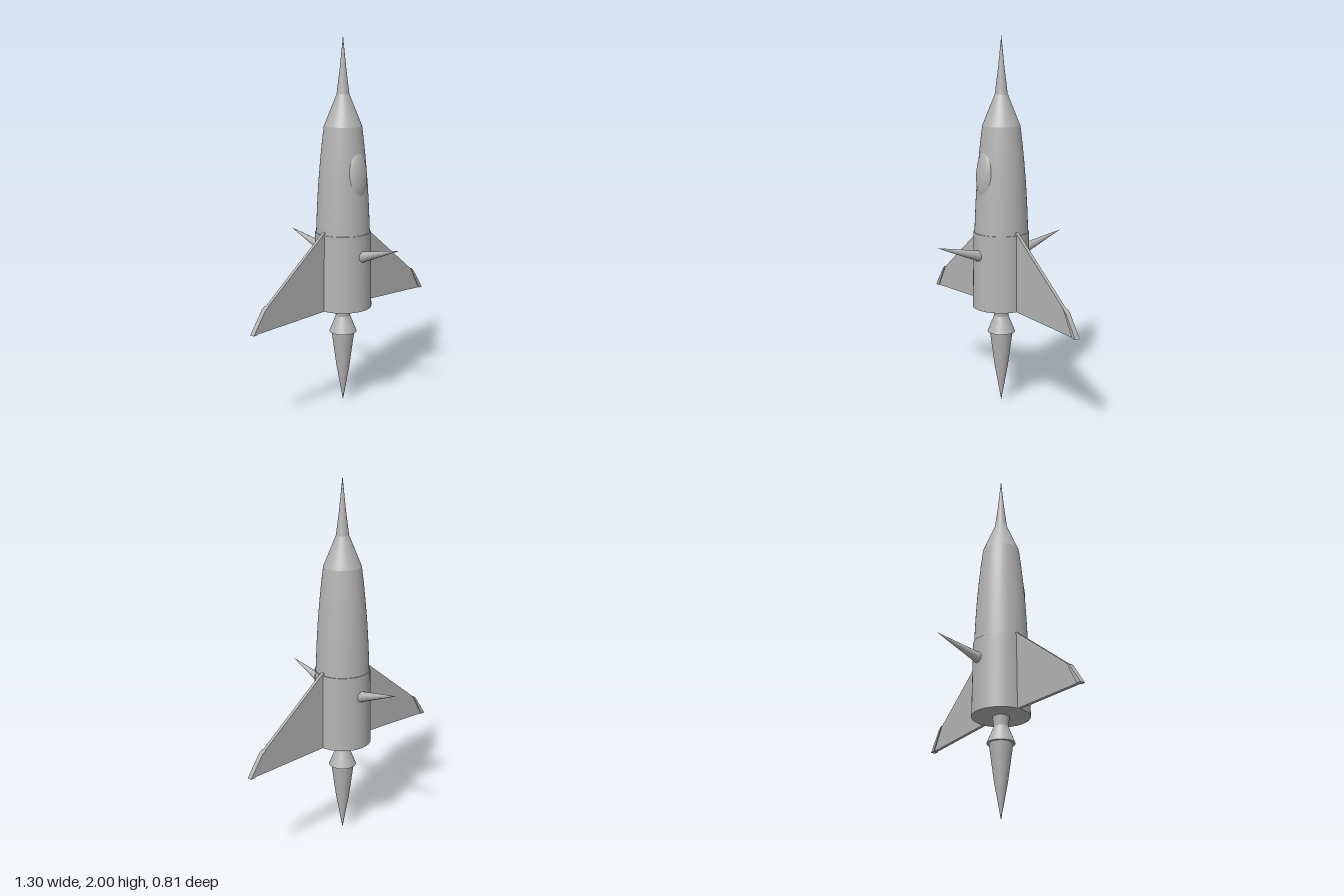
import * as THREE from 'three';

export function createModel() {
  const model = new THREE.Group();
  model.name = 'rocketShip';
  const grey = new THREE.MeshStandardMaterial({ color: 0xb4b4b4 });
  grey.name = 'hullGrey';

  const add = (name, geometry, parent = model) => {
    const mesh = new THREE.Mesh(geometry, grey);
    mesh.name = name;
    parent.add(mesh);
    return mesh;
  };
  // Turned part from [radius, height] pairs, listed bottom to top
  const turned = (name, pts) =>
    add(name, new THREE.LatheGeometry(pts.map(([r, y]) => new THREE.Vector2(r, y)), 48));
  // Flat plate centred on z = 0
  const plate = (name, pts, depth, parent) => {
    const shape = new THREE.Shape(pts.map(([x, y]) => new THREE.Vector2(x, y)));
    const geometry = new THREE.ExtrudeGeometry(shape, { depth, bevelEnabled: false });
    geometry.translate(0, 0, -depth / 2);
    return add(name, geometry, parent);
  };

  // Fuselage and long needle nose
  turned('rearHull', [[0.155, 0.545], [0.15, 0.96]]);
  turned('rearBulkhead', [[0, 0.545], [0.155, 0.545]]);
  turned('hullStep', [[0.15, 0.96], [0.143, 0.96]]);
  turned('frontHull', [[0.145, 0.955], [0.139, 1.1], [0.132, 1.22], [0.122, 1.34], [0.112, 1.44], [0.101, 1.53]]);
  turned('noseCone', [[0.101, 1.53], [0.034, 1.695]]);
  turned('noseNeedle', [[0.034, 1.695], [0.017, 1.83], [0, 2]]);

  // Engine nozzle and exhaust cone
  turned('engineNeck', [[0.039, 0.49], [0.045, 0.55]]);
  turned('engineNozzle', [[0.075, 0.4], [0.039, 0.49]]);
  turned('nozzleRim', [[0, 0.4], [0.075, 0.4]]);
  turned('exhaustCone', [[0, 0], [0.036, 0.2], [0.063, 0.4]]);

  // Canopy bubble leaning with the hull
  const canopy = add('canopy', new THREE.SphereGeometry(1, 32, 20));
  canopy.scale.set(0.064, 0.135, 0.038);
  canopy.position.set(0, 1.277, 0.104);
  canopy.rotation.x = -0.07;

  for (const side of [1, -1]) {
    // Swept wing with a thicker tip rail
    const wing = new THREE.Group();
    wing.name = side > 0 ? 'leftWing' : 'rightWing';
    wing.rotation.y = side > 0 ? 0 : Math.PI;
    model.add(wing);
    plate('wingPanel', [[0.13, 0.545], [0.645, 0.525], [0.57, 0.64], [0.14, 0.98]], 0.018, wing);
    plate('wingTipRail', [[0.625, 0.525], [0.652, 0.524], [0.572, 0.642], [0.552, 0.656]], 0.028, wing);

    // Raked spike on the front and back
    const base = new THREE.Vector3(0, 0.838, 0.13 * side);
    const tip = new THREE.Vector3(0, 0.92, 0.407 * side);
    const axis = tip.clone().sub(base);
    const cone = new THREE.ConeGeometry(0.031, axis.length(), 12);
    const spike = add(side > 0 ? 'frontSpike' : 'backSpike', cone);
    spike.position.copy(base).add(tip).multiplyScalar(0.5);
    spike.quaternion.setFromUnitVectors(new THREE.Vector3(0, 1, 0), axis.normalize());
  }
  return model;
}
